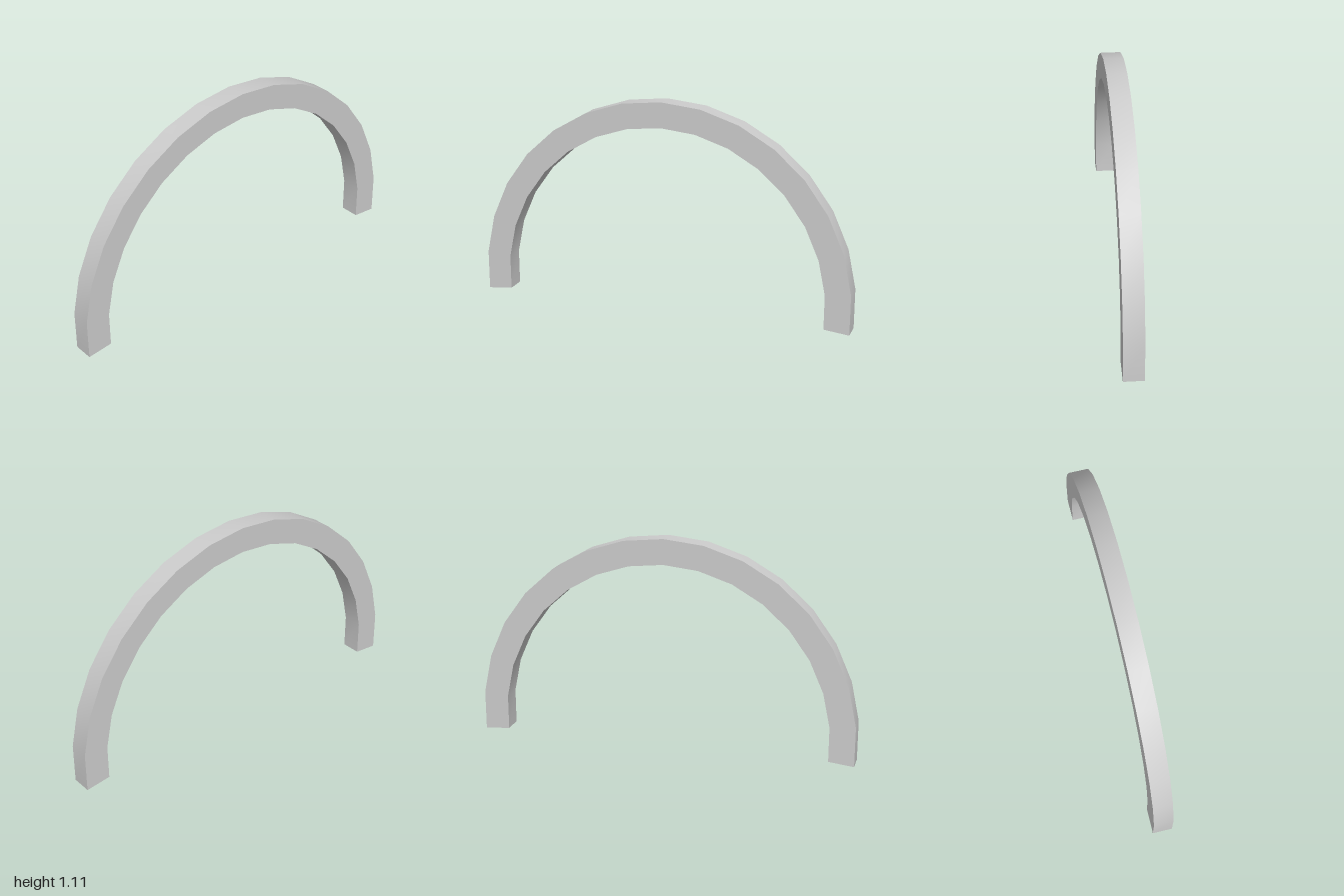
import * as THREE from 'three';
import { toCreasedNormals } from 'three/addons/utils/BufferGeometryUtils.js';

const OUTER = 1.0055, INNER = 0.873, WIDTH = 0.104;
const SEGMENTS = 16, STEP = Math.PI / 15; // 12 degrees per segment

// Points along the faceted arc, running 6 degrees past horizontal at both ends
function arcPoints(radius) {
  const centreY = OUTER * Math.sin(STEP / 2);
  return Array.from({ length: SEGMENTS + 1 }, (_, i) => {
    const a = (i - 0.5) * STEP;
    return new THREE.Vector2(radius * Math.cos(a), centreY + radius * Math.sin(a));
  });
}

export function createModel() {
  const group = new THREE.Group();
  group.name = 'archModel';

  // Square-section arch: outer curve out, inner curve back
  const shape = new THREE.Shape([...arcPoints(OUTER), ...arcPoints(INNER).reverse()]);
  const extruded = new THREE.ExtrudeGeometry(shape, { depth: WIDTH, bevelEnabled: false });
  extruded.translate(0, 0, -WIDTH / 2);
  extruded.rotateY(Math.PI / 2);

  // Smooth along the curve, sharp at the four long edges and the feet
  const arch = new THREE.Mesh(
    toCreasedNormals(extruded, 0.5),
    new THREE.MeshStandardMaterial({ color: 0xcccccc })
  );
  arch.name = 'arch';
  group.add(arch);
  return group;
}
